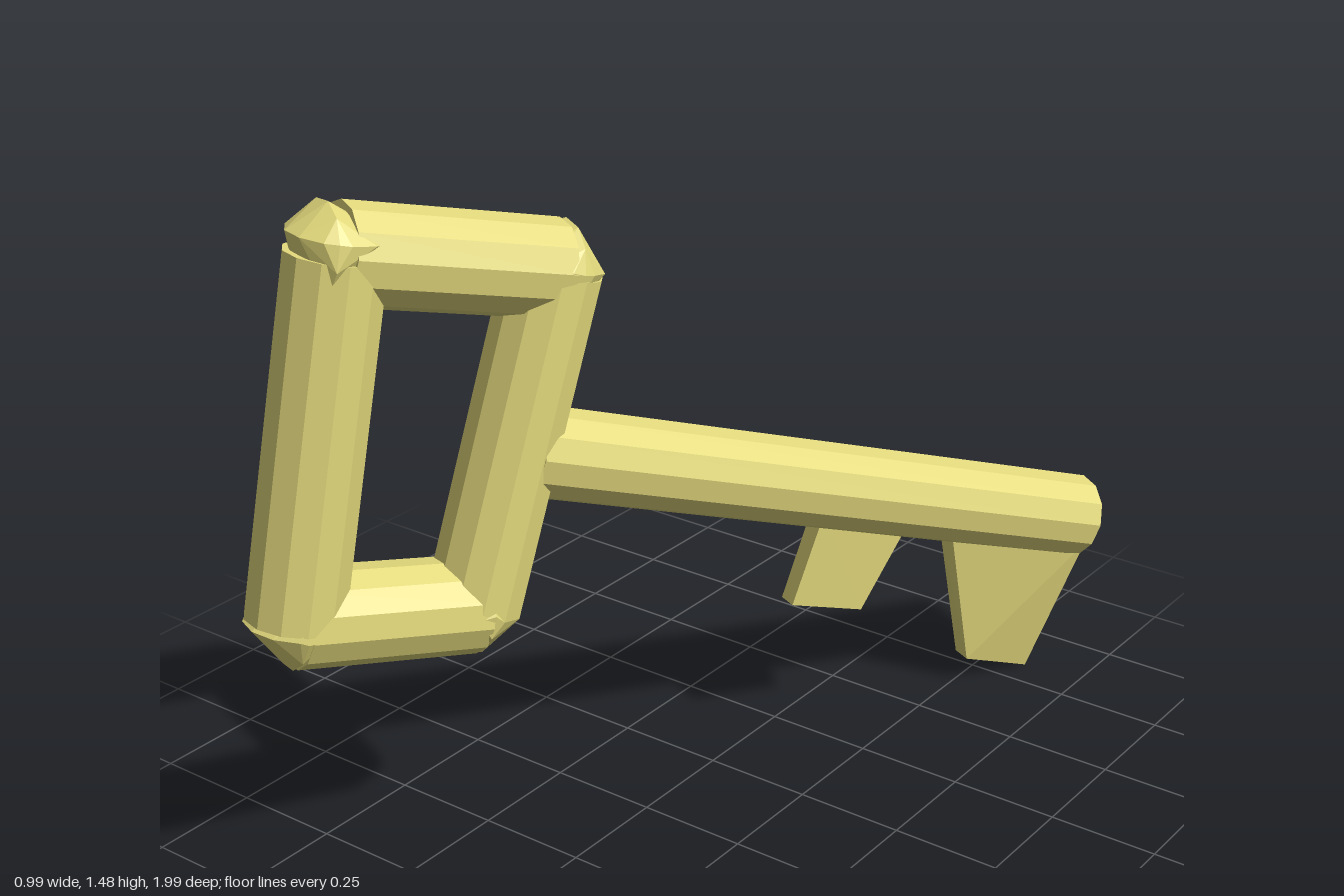
import * as THREE from 'three';
import { ConvexGeometry } from 'three/addons/geometries/ConvexGeometry.js';

const SIDES = 12;
const V = (x, y, z) => new THREE.Vector3(x, y, z);
const UP = V(0, 1, 0);

export function createModel() {
  const group = new THREE.Group();
  const material = new THREE.MeshStandardMaterial({ color: 0xe3d97c, flatShading: true });

  function add(geometry, name) {
    const mesh = new THREE.Mesh(geometry, material);
    mesh.name = name;
    group.add(mesh);
    return mesh;
  }

  // Straight round bar between two points
  function bar(a, b, radius, name) {
    const mesh = add(new THREE.CylinderGeometry(radius, radius, a.distanceTo(b), SIDES), name);
    mesh.position.copy(a).lerp(b, 0.5);
    mesh.quaternion.setFromUnitVectors(UP, b.clone().sub(a).normalize());
  }

  // Points of a circle around an axis
  function ring(center, axis, radius) {
    const q = new THREE.Quaternion().setFromUnitVectors(UP, axis);
    return Array.from({ length: SIDES }, (_, i) => {
      const t = (i / SIDES) * Math.PI * 2;
      return V(Math.sin(t) * radius, 0, Math.cos(t) * radius).applyQuaternion(q).add(center);
    });
  }

  // Handle: four bars in a skewed frame, with chamfered corner joints
  const R = 0.105;
  const corners = [
    { p: V(-0.348, 1.372, 0.753), out: 0.04 },
    { p: V(-0.17, 1.256, 0.317), out: 0.015 },
    { p: V(-0.244, 0.55, 0.522), out: 0 },
    { p: V(-0.395, 0.623, 0.889), out: 0.01 },
  ];
  const barNames = ['handleTop', 'handleBack', 'handleBottom', 'handleFront'];
  corners.forEach((c, i) => {
    const next = corners[(i + 1) % 4];
    const prev = corners[(i + 3) % 4];
    bar(c.p, next.p, R, barNames[i]);
    const rings = [next, prev].flatMap((n) => {
      const dir = c.p.clone().sub(n.p).normalize();
      return ring(c.p.clone().addScaledVector(dir, c.out), dir, R);
    });
    add(new ConvexGeometry(rings), 'handleCorner');
  });

  // Shaft
  bar(V(-0.195, 0.875, 0.4), V(0.402, 0.381, -0.945), 0.1, 'shaft');

  // Teeth: each has four lower corners and four upper ones sunk into the shaft
  const sink = V(0.006, 0.047, -0.015);
  function tooth(lower, upper, name) {
    const top = upper.map((p) => V(...p).add(sink));
    add(new ConvexGeometry([...lower.map((p) => V(...p)), ...top]), name);
  }
  tooth(
    [[0.073, 0.338, -0.21], [0.03, 0.338, -0.23], [0.152, 0.28, -0.38], [0.109, 0.28, -0.4]],
    [[0.105, 0.508, -0.262], [0.06, 0.508, -0.282], [0.203, 0.435, -0.476], [0.16, 0.435, -0.496]],
    'smallTooth'
  );
  tooth(
    [[0.279, 0.063, -0.668], [0.235, 0.063, -0.69], [0.354, 0, -0.829], [0.31, 0, -0.85]],
    [[0.255, 0.388, -0.583], [0.207, 0.388, -0.605], [0.451, 0.288, -0.888], [0.325, 0.288, -0.943]],
    'largeTooth'
  );

  return group;
}
